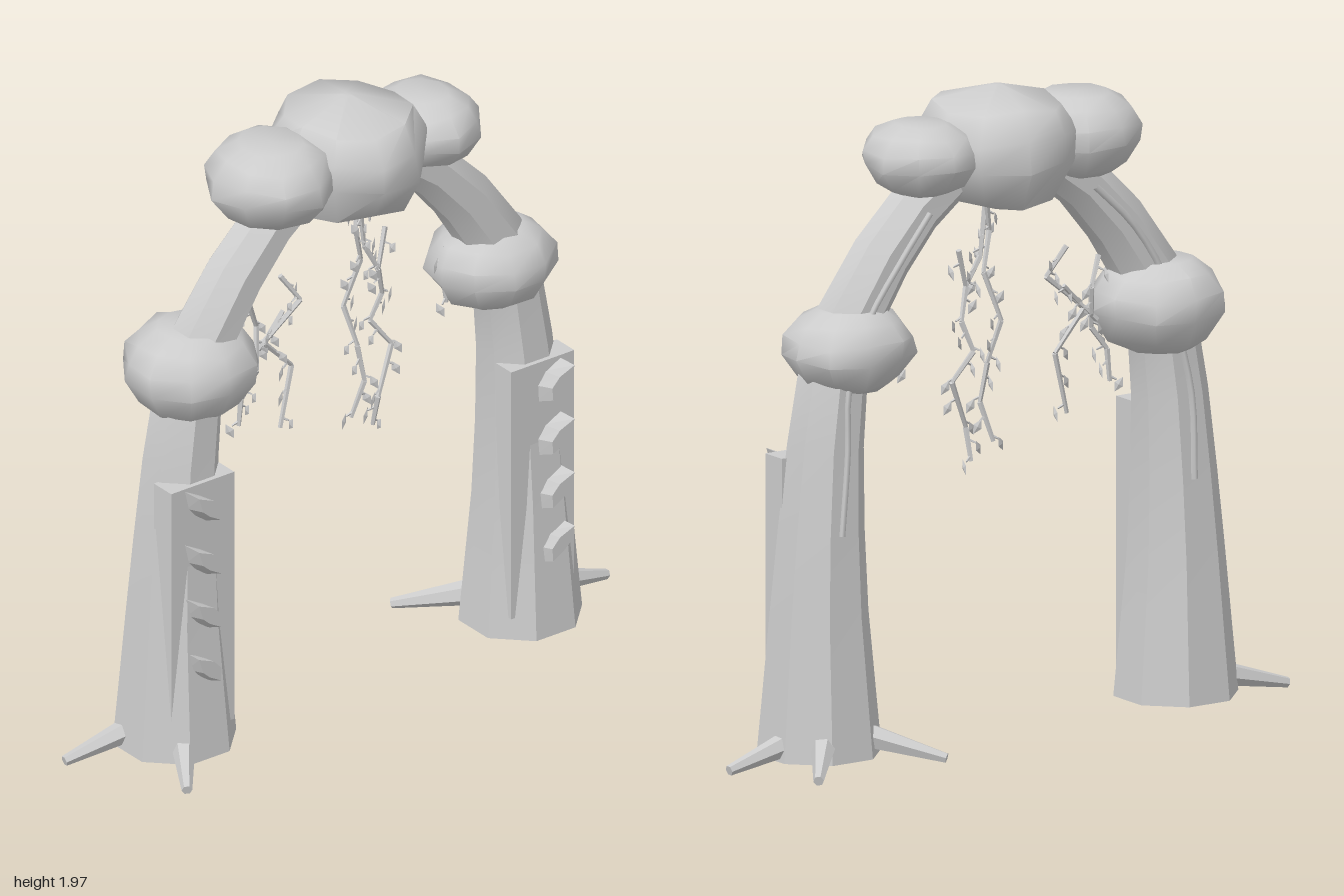
import * as THREE from 'three';
import { toCreasedNormals } from 'three/addons/utils/BufferGeometryUtils.js';

const V = (x, y, z = 0) => new THREE.Vector3(x, y, z);

// Stacks closed rings of points into a capped surface.
function loft(rings, crease) {
  const n = rings[0].length, pos = [], idx = [];
  rings.forEach(r => r.forEach(p => pos.push(p.x, p.y, p.z)));
  for (let k = 0; k < rings.length - 1; k++) {
    for (let i = 0; i < n; i++) {
      const a = k * n + i, b = k * n + (i + 1) % n;
      idx.push(a, a + n, b, b, a + n, b + n);
    }
  }
  [0, rings.length - 1].forEach(k => {
    const c = rings[k].reduce((s, p) => s.add(p), V(0, 0)).divideScalar(n);
    const ci = pos.length / 3;
    pos.push(c.x, c.y, c.z);
    for (let i = 0; i < n; i++) {
      const a = k * n + i, b = k * n + (i + 1) % n;
      if (k === 0) idx.push(ci, a, b); else idx.push(ci, b, a);
    }
  });
  const g = new THREE.BufferGeometry();
  g.setAttribute('position', new THREE.Float32BufferAttribute(pos, 3));
  g.setIndex(idx);
  return toCreasedNormals(g, crease);
}

export function createModel() {
  const model = new THREE.Group();
  model.name = 'treeArch';
  const grey = new THREE.MeshStandardMaterial({ color: 0xcccccc });
  grey.name = 'light grey';
  const add = (parent, name, geometry) => {
    const m = new THREE.Mesh(geometry, grey);
    m.name = name;
    parent.add(m);
    return m;
  };

  // Tapered rod between two points
  const rod = (parent, name, a, b, ra, rb, sides = 6) => {
    const d = b.clone().sub(a);
    const g = new THREE.CylinderGeometry(rb, ra, d.length(), sides);
    const m = add(parent, name, toCreasedNormals(g, 0.6));
    m.position.copy(a).add(b).multiplyScalar(0.5);
    m.quaternion.setFromUnitVectors(V(0, 1), d.normalize());
    return m;
  };

  // Trunk centre line: x, y, radius
  const line = [[0.645, 0.02, 0.19], [0.645, 0.2, 0.173], [0.645, 0.45, 0.15], [0.637, 0.7, 0.132],
    [0.622, 0.95, 0.117], [0.597, 1.14, 0.108], [0.535, 1.33, 0.101], [0.42, 1.5, 0.094],
    [0.3, 1.63, 0.086], [0.16, 1.73, 0.08], [0, 1.77, 0.078]];

  for (const s of [-1, 1]) {
    const tree = new THREE.Group();
    tree.name = s < 0 ? 'rightTree' : 'leftTree';
    model.add(tree);

    // Eight-sided bent trunk
    const curve = new THREE.CatmullRomCurve3(line.map(([x, y]) => V(s * x, y)));
    const rings = line.map(([x, y, r], k) => {
      const t = curve.getTangent(k / (line.length - 1));
      if (k === 0) t.set(0, 1, 0);
      const side = V(t.y, -t.x);
      return Array.from({ length: 8 }, (_, i) => {
        const a = (i + 0.5) * Math.PI / 4;
        return V(s * x, y).addScaledVector(side, r * Math.cos(a)).add(V(0, 0, r * Math.sin(a)));
      });
    });
    add(tree, 'trunk', loft(rings, 0.6));

    // Creeper along the back of the trunk
    const creeper = [[3, 0.01], [4, -0.005], [5, 0.01], [6, 0], [7, -0.01], [8, 0]].map(([k, o]) =>
      V(s * line[k][0] + o, line[k][1], -line[k][2] * 0.92));
    add(tree, 'creeper', new THREE.TubeGeometry(new THREE.CatmullRomCurve3(creeper), 16, 0.011, 5));

    // Front board with a ladder of bracket fungi
    const board = add(tree, 'board', new THREE.BoxGeometry(0.235, 0.83, 0.085));
    board.position.set(s * 0.634, 0.505, 0.0825);
    const outline = [[0.70, 0.05], [0.645, 0.02], [0.617, -0.02], [0.62, -0.075], [0.66, -0.045], [0.685, -0.015]];
    const shape = new THREE.Shape(outline.map(([x, y]) => new THREE.Vector2(s * x, y)));
    const bracket = new THREE.ExtrudeGeometry(shape, { depth: 0.08, bevelEnabled: false });
    const p = bracket.attributes.position;
    for (let i = 0; i < p.count; i++) {
      if (p.getZ(i) > 0.04) p.setY(i, p.getY(i) * 0.75 + 0.018);
    }
    bracket.computeVertexNormals();
    for (let k = 0; k < 4; k++) {
      add(tree, 'bracketFungus', bracket).position.set(0, 0.86 - k * 0.18, 0.115);
    }

    // Roots
    const roots = s < 0
      ? [[-0.76, -0.04, -0.998, -0.075], [-0.69, 0.1, -0.82, 0.292]]
      : [[0.76, -0.03, 0.998, -0.04], [0.71, -0.12, 0.855, -0.3], [0.54, -0.11, 0.378, -0.28]];
    for (const [x0, z0, x1, z1] of roots) {
      rod(tree, 'root', V(x0, 0.075, z0), V(x1, 0.018, z1), 0.04, 0.016, 6);
    }
  }

  // Foliage clumps: centre, radii, twist, width of the top and bottom caps
  const clumps = [
    [0, 1.78, 0, 0.235, 0.19, 0.25, 0.1, 0.06],
    [-0.29, 1.785, 0.005, 0.195, 0.122, 0.205, 0.5, 0.5],
    [0.28, 1.785, 0, 0.172, 0.105, 0.19, 0.9, 0.45],
    [-0.565, 1.23, -0.025, 0.205, 0.136, 0.205, 0.3, 0.5],
    [0.54, 1.24, -0.005, 0.2, 0.122, 0.188, 0.7, 0.5],
  ];
  clumps.forEach(([x, y, z, rx, ry, rz, twist, cap], c) => {
    const profile = [[cap, -1], [0.76, -0.76], [1, -0.15], [0.98, 0.3], [0.8, 0.72], [cap, 1]];
    const rings = profile.map(([r, h], k) => Array.from({ length: 10 }, (_, i) => {
      const a = (i / 10) * Math.PI * 2 + twist;
      const w = r * (1 + 0.04 * Math.sin(i * 2.3 + k * 1.7 + c));
      const lift = k > 0 && k < 5 ? 0.06 * Math.sin(i * 1.9 + k + c * 2) : 0;
      return V(x + rx * w * Math.cos(a), y + ry * (h + lift), z - rz * w * Math.sin(a));
    }).reverse());
    add(model, 'foliageClump', loft(rings, 0.95));
  });

  // Small spike under the crown
  rod(model, 'hangingSpike', V(0, 1.7, 0.11), V(0, 1.59, 0.11), 0.014, 0.003, 5);

  // Hanging vines with short twigs and pointed leaves
  const vines = [
    [[0.04, 1.62, 0], [0.015, 1.52, 0.02], [0.05, 1.4, 0], [0, 1.25, -0.02], [0.03, 1.12, 0.01], [0.05, 1, 0.02], [0.015, 0.88, 0]],
    [[0.14, 1.48, 0], [0.1, 1.36, 0.02], [0.13, 1.26, 0], [0.1, 1.17, -0.02], [0.165, 1.08, 0], [0.1, 0.93, 0.02], [0.095, 0.83, 0]],
    [[0.03, 1.6, 0.02], [0.055, 1.45, 0.01], [0.1, 1.36, 0.02]],
    [[-0.25, 1.44, 0], [-0.19, 1.35, 0.02], [-0.32, 1.24, 0.01], [-0.2, 1.12, -0.01], [-0.25, 0.93, 0]],
    [[-0.38, 1.39, 0.02], [-0.34, 1.3, 0], [-0.36, 1.17, 0.03], [-0.41, 1.1, 0.02], [-0.42, 1, 0.02]],
    [[-0.36, 1.2, 0], [-0.3, 1.26, 0.01], [-0.24, 1.32, 0]],
    [[0.39, 1.32, -0.03], [0.37, 1.24, -0.02], [0.385, 1.14, -0.02]],
  ];
  const leaf = new THREE.OctahedronGeometry(1).scale(0.014, 0.026, 0.005);
  vines.forEach((points, v) => {
    const vine = new THREE.Group();
    vine.name = 'hangingVine';
    model.add(vine);
    const pts = points.map(q => V(...q));
    for (let i = 0; i < pts.length - 1; i++) {
      rod(vine, 'vineStem', pts[i], pts[i + 1], 0.009, 0.007, 5);
      for (const t of [0.35, 0.85]) {
        const a = pts[i].clone().lerp(pts[i + 1], t);
        const dir = (i + (t > 0.5 ? 1 : 0) + v) % 2 ? 1 : -1;
        const b = a.clone().add(V(dir * 0.022, -0.012, 0.012 * Math.sin(i * 2 + v)));
        rod(vine, 'twig', a, b, 0.005, 0.003, 4);
        const l = add(vine, 'leaf', leaf);
        l.position.copy(b).add(V(dir * 0.008, -0.016));
        l.rotation.set(0, i + v + t * 2, dir * 0.5);
      }
    }
  });

  return model;
}
